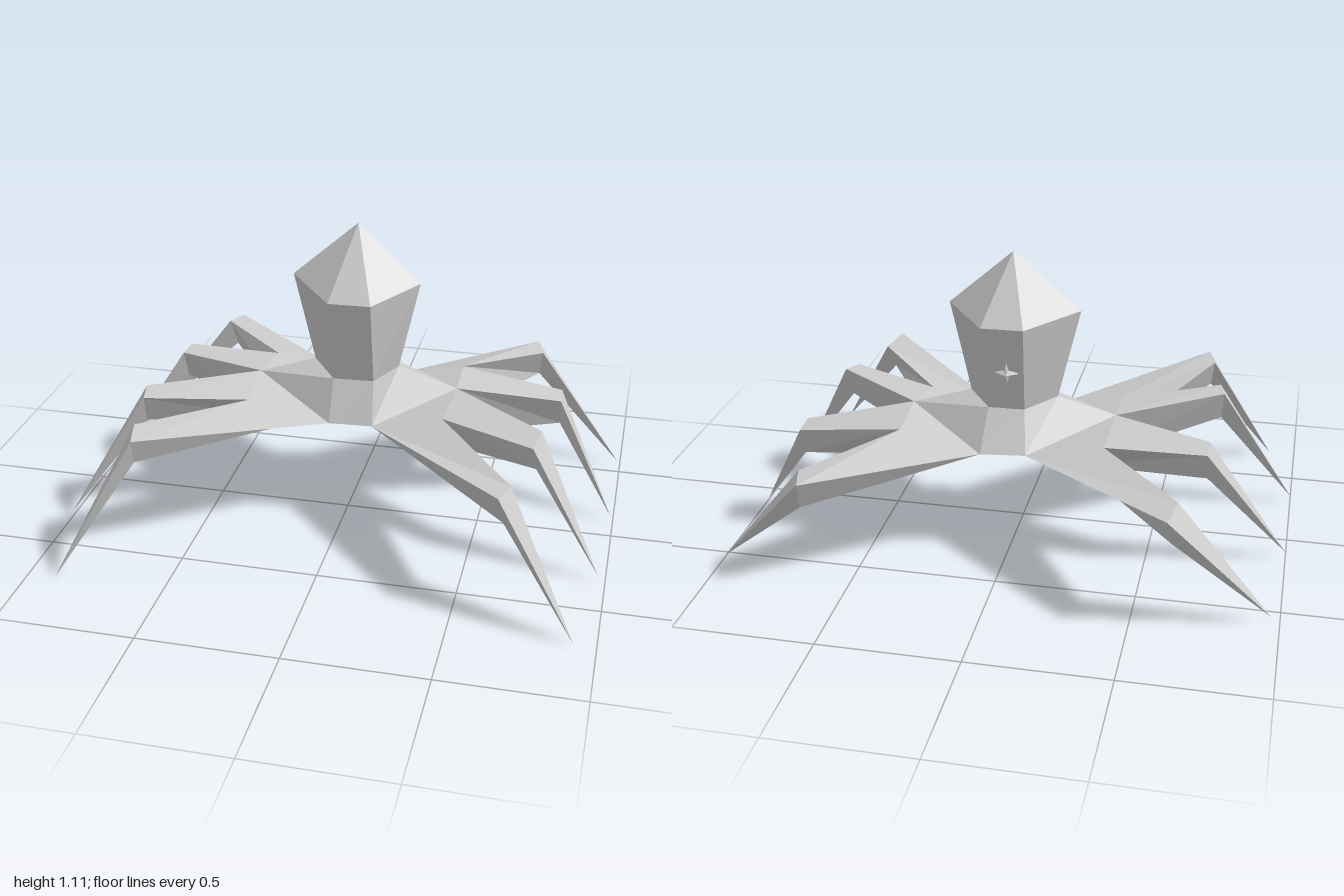
import * as THREE from 'three';

// Collects flat polygons (fan-triangulated) and turns them into a faceted mesh
function facets(name) {
  const pos = [];
  return {
    face(points, flip = false) {
      const p = flip ? [...points].reverse() : points;
      for (let i = 1; i < p.length - 1; i++) pos.push(...p[0], ...p[i], ...p[i + 1]);
    },
    mesh() {
      const geo = new THREE.BufferGeometry();
      geo.setAttribute('position', new THREE.Float32BufferAttribute(pos, 3));
      geo.computeVertexNormals();
      const mat = new THREE.MeshStandardMaterial({ color: 0xcccccc, flatShading: true });
      const mesh = new THREE.Mesh(geo, mat);
      mesh.name = name;
      return mesh;
    },
  };
}

// Six-sided rings: front right, front left, left, back left, back right, right
const hull = [[-0.05, 0.41, 0.10], [0.11, 0.41, 0.09], [0.39, 0.50, -0.11],
  [0.09, 0.42, -0.33], [-0.07, 0.42, -0.31], [-0.36, 0.505, -0.09]];
const neck = [[-0.05, 0.555, 0.02], [0.10, 0.56, 0.02], [0.17, 0.57, -0.11],
  [0.08, 0.56, -0.23], [-0.05, 0.56, -0.225], [-0.15, 0.57, -0.11]];
const brow = [[-0.055, 0.88, 0.09], [0.10, 0.88, 0.085], [0.245, 0.905, -0.11],
  [0.09, 0.89, -0.305], [-0.06, 0.89, -0.30], [-0.23, 0.905, -0.11]];
const crown = [0.01, 1.115, -0.125];
const bellyCentre = [0.01, 0.40, -0.10];

// Per side: leg roots from front to back, underside keel, and [front knee, back knee, tip] of each leg
const sides = [
  {
    label: 'left', flip: false, keel: [0.25, 0.29, -0.10],
    roots: [hull[1], [0.37, 0.47, 0.09], hull[2], [0.38, 0.49, -0.33], hull[3]],
    legs: [
      [[0.64, 0.465, 0.605], [0.67, 0.45, 0.49], [0.925, 0.01, 0.715]],
      [[0.715, 0.47, 0.245], [0.735, 0.49, 0.145], [0.975, 0.03, 0.315]],
      [[0.77, 0.44, -0.21], [0.765, 0.44, -0.31], [0.99, 0.03, -0.11]],
      [[0.66, 0.445, -0.62], [0.63, 0.445, -0.73], [0.99, 0.03, -0.55]],
    ],
  },
  {
    label: 'right', flip: true, keel: [-0.22, 0.295, -0.10],
    roots: [hull[0], [-0.35, 0.48, 0.115], hull[5], [-0.35, 0.48, -0.31], hull[4]],
    legs: [
      [[-0.64, 0.505, 0.57], [-0.67, 0.51, 0.45], [-0.90, 0.01, 0.72]],
      [[-0.71, 0.51, 0.245], [-0.73, 0.515, 0.15], [-1.0, 0.03, 0.31]],
      [[-0.71, 0.49, -0.21], [-0.71, 0.485, -0.31], [-1.0, 0.03, -0.125]],
      [[-0.645, 0.46, -0.62], [-0.62, 0.445, -0.73], [-0.97, 0.03, -0.565]],
    ],
  },
];

function loft(part, lower, upper) {
  lower.forEach((p, i) => {
    const j = (i + 1) % lower.length;
    part.face([p, lower[j], upper[j], upper[i]]);
  });
}

// Three-edged leg: thigh from body to knee, shin from knee to a sharp tip
function makeLeg(name, p, q, keel, [a, b, tip], flip) {
  const leg = facets(name);
  const under = [(a[0] + b[0]) / 2, (a[1] + b[1]) / 2 - 0.115, (a[2] + b[2]) / 2];
  leg.face([p, a, b, q], flip);
  leg.face([p, keel, under, a], flip);
  leg.face([q, b, under, keel], flip);
  leg.face([a, tip, b], flip);
  leg.face([b, tip, under], flip);
  leg.face([under, tip, a], flip);
  return leg.mesh();
}

// Small four-pointed stud on the back of the head
function makeStud() {
  const stud = facets('backStud');
  const rim = [];
  for (let i = 0; i < 8; i++) {
    const r = i % 2 ? 0.013 : 0.045;
    const t = (i * Math.PI) / 4;
    rim.push([r * Math.sin(t), r * Math.cos(t), 0]);
  }
  rim.forEach((p, i) => {
    const n = rim[(i + 1) % 8];
    stud.face([[0, 0, 0.025], n, p]);
    stud.face([[0, 0, -0.02], p, n]);
  });
  const mesh = stud.mesh();
  mesh.position.set(0.005, 0.715, -0.267);
  mesh.rotation.x = -0.23;
  return mesh;
}

export function createModel() {
  const group = new THREE.Group();
  group.name = 'eightLeggedCreature';

  // Head: tapered hexagonal column with a pointed crown
  const head = facets('head');
  loft(head, neck, brow);
  brow.forEach((p, i) => head.face([p, brow[(i + 1) % 6], crown]));
  group.add(head.mesh(), makeStud());

  // Body: flared collar, webbing between the leg roots, and belly
  const body = facets('body');
  loft(body, hull, neck);
  body.face([bellyCentre, hull[1], hull[0]]);
  body.face([bellyCentre, hull[4], hull[3]]);
  for (const { roots, keel, flip } of sides) {
    body.face([roots[0], roots[1], roots[2]], flip);
    body.face([roots[2], roots[3], roots[4]], flip);
    body.face([keel, roots[0], bellyCentre], flip);
    body.face([roots[4], keel, bellyCentre], flip);
  }
  group.add(body.mesh());

  // Four legs on each side
  for (const { label, roots, keel, legs, flip } of sides) {
    legs.forEach((leg, i) =>
      group.add(makeLeg(`${label}Leg${i + 1}`, roots[i], roots[i + 1], keel, leg, flip)));
  }
  return group;
}
